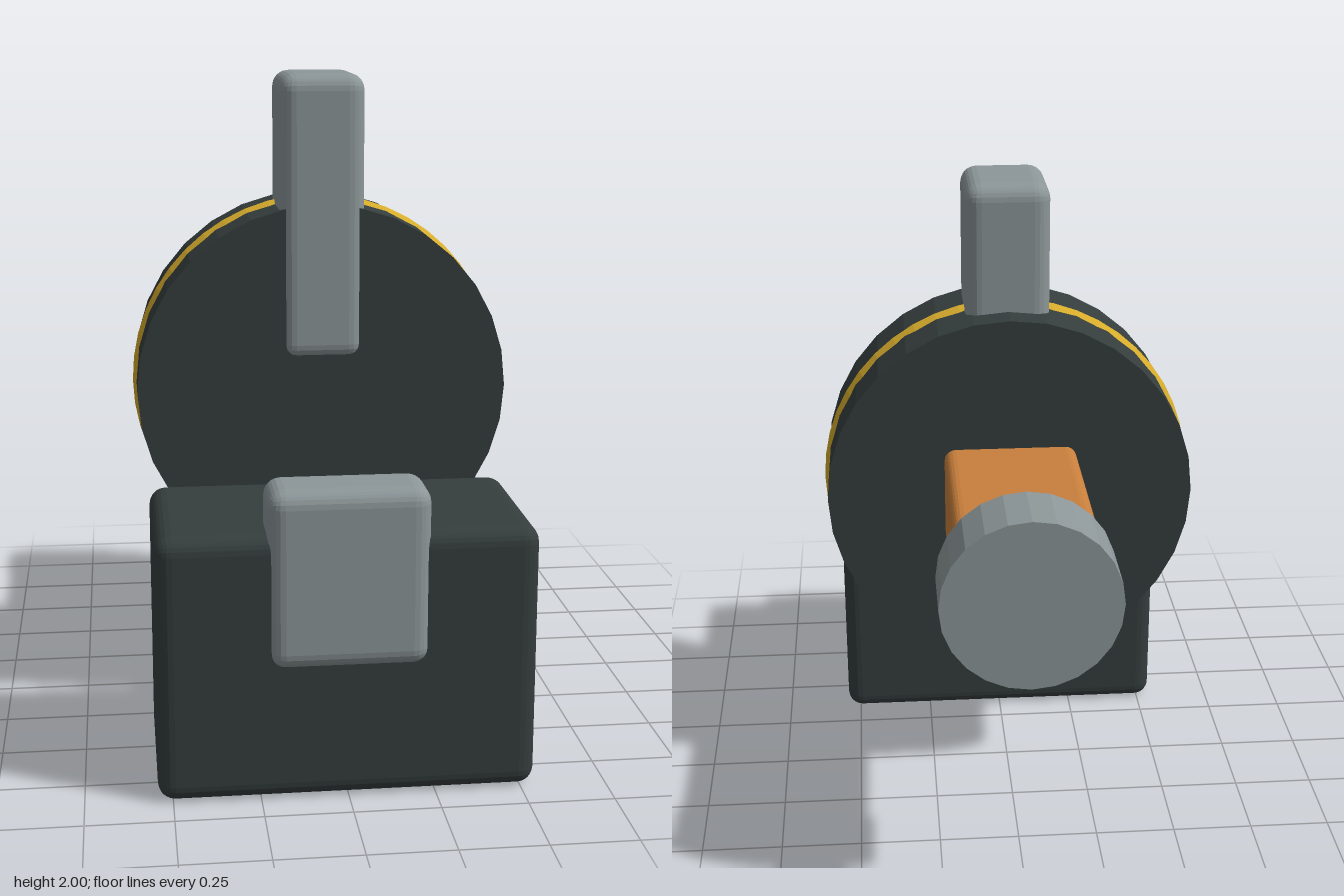
import * as THREE from 'three';
import { RoundedBoxGeometry } from 'three/addons/geometries/RoundedBoxGeometry.js';

const material = (name, color, flatShading = false) => {
  const m = new THREE.MeshStandardMaterial({ color, flatShading });
  m.name = name;
  return m;
};

export function createModel() {
  const group = new THREE.Group();
  const dark = material('charcoal', 0x353d3d, true);
  const steel = material('steel grey', 0x8c9698, true);
  const copper = material('copper orange', 0xc87f3c, true);
  const gold = material('gold', 0xd6ab2b, true);
  const axisY = 1.04;

  const add = (name, geometry, mat, x, y, z) => {
    const mesh = new THREE.Mesh(geometry, mat);
    mesh.name = name;
    mesh.position.set(x, y, z);
    group.add(mesh);
    return mesh;
  };

  // Rounded block given by its y and z limits, centred on x
  const block = (name, mat, width, y0, y1, z0, z1, radius) =>
    add(name, new RoundedBoxGeometry(width, y1 - y0, z1 - z0, 3, radius), mat,
      0, (y0 + y1) / 2, (z0 + z1) / 2);

  // Disc whose axis runs along z
  const disc = (name, mat, radius, z0, z1, sides) =>
    add(name, new THREE.CylinderGeometry(radius, radius, z1 - z0, sides).rotateX(Math.PI / 2), mat,
      0, axisY, (z0 + z1) / 2);

  // Base box with the clip set into its upper front
  block('base', dark, 1.085, 0, 0.78, 0.33, 0.9, 0.05);
  block('clip', steel, 0.46, 0.39, 0.91, 0.71, 0.92, 0.05);

  // Wheel, its gold band and the lever set into its top
  disc('wheel', dark, 0.57, -0.155, 0.235, 32);
  add('band', new THREE.TorusGeometry(0.533, 0.048, 8, 48), gold, 0, axisY, 0.038);
  block('lever', steel, 0.26, 1.13, 2, -0.065, 0.247, 0.05);

  // Handle shaft and end cap at the back
  block('shaft', copper, 0.41, 0.89, 1.197, -0.78, -0.05, 0.035);
  disc('endCap', steel, 0.258, -0.92, -0.717, 24);

  return group;
}
